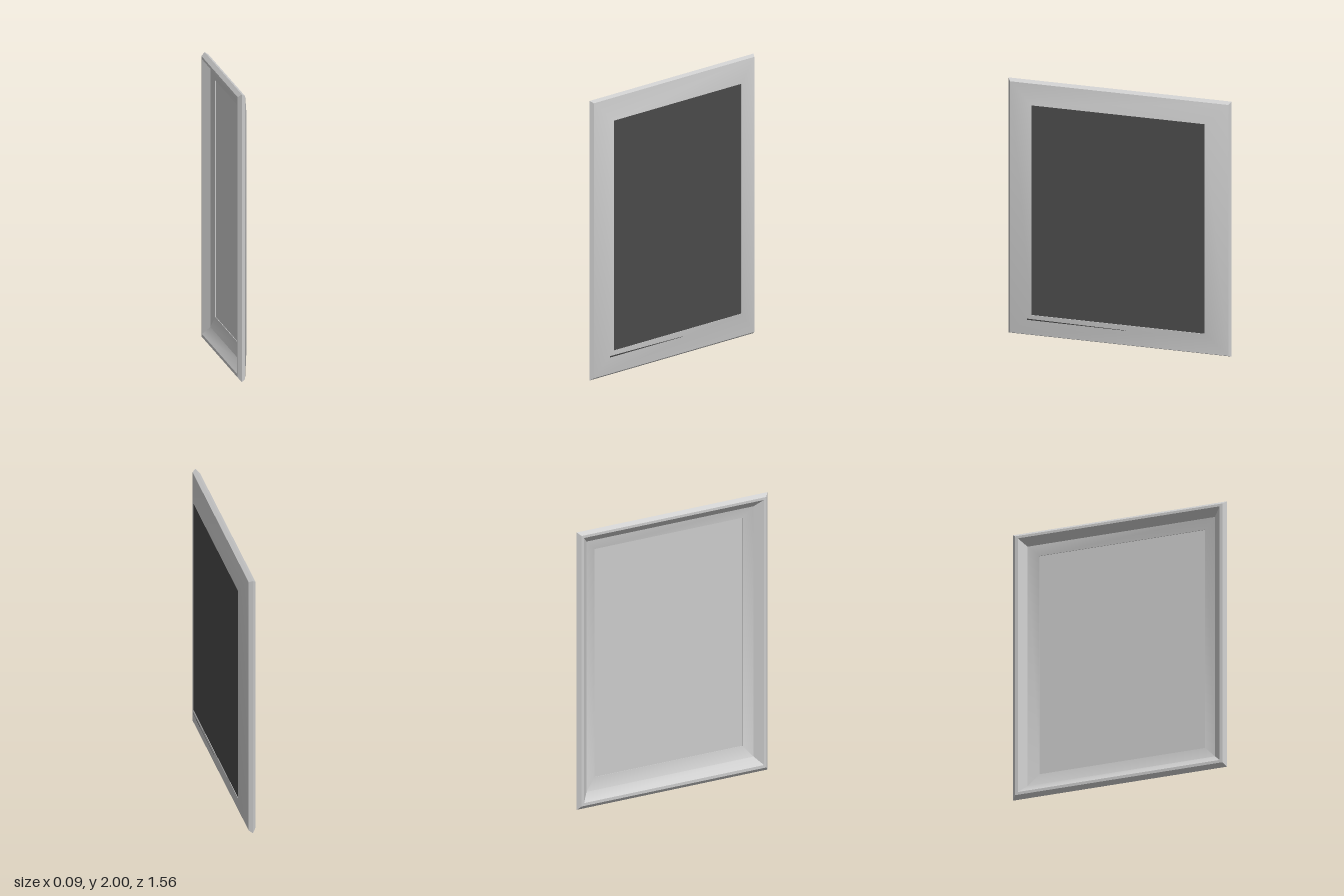
import * as THREE from 'three';
import { toCreasedNormals } from 'three/addons/utils/BufferGeometryUtils.js';

// Rectangle in the y-z plane; u = 0 is the outer edge, u = 1 the opening.
function corners(u, x) {
  const z = 0.78 - 0.175 * u, y0 = 0.19 * u, y1 = 2 - 0.165 * u;
  return [[x, y0, z], [x, y0, -z], [x, y1, -z], [x, y1, z]];
}

// Closed moulding profile swept round the four mitred corners
function frameGeometry(profile) {
  const pos = [], idx = [], n = profile.length;
  for (const [u, x] of profile) pos.push(...corners(u, x).flat());
  for (let i = 0; i < n; i++) {
    for (let k = 0; k < 4; k++) {
      const a = i * 4 + k, b = i * 4 + (k + 1) % 4;
      const c = ((i + 1) % n) * 4 + (k + 1) % 4, d = ((i + 1) % n) * 4 + k;
      idx.push(a, b, c, a, c, d);
    }
  }
  const g = new THREE.BufferGeometry();
  g.setAttribute('position', new THREE.Float32BufferAttribute(pos, 3));
  g.setIndex(idx);
  return toCreasedNormals(g, 0.5);
}

export function createModel() {
  const group = new THREE.Group();
  const grey = new THREE.MeshStandardMaterial({ color: 0xcccccc });
  const dark = new THREE.MeshStandardMaterial({ color: 0x4a4a4a });
  const add = (name, geometry, material) => {
    const mesh = new THREE.Mesh(geometry, material);
    mesh.name = name;
    group.add(mesh);
    return mesh;
  };

  // Frame: bevelled outer edge, sloping face, hollowed back
  add('frame', frameGeometry([
    [0, -0.02], [0.09, 0.005], [1, 0.041], [1, 0.025],
    [0.55, 0.005], [0.25, -0.045], [0.14, -0.045],
  ]), grey);

  // Picture in the opening, with a grey backing board
  const h = 1.645, w = 1.21, cy = 1.0125;
  add('picture', new THREE.BoxGeometry(0.004, h, w), dark).position.set(0.036, cy, 0.002);
  add('backingBoard', new THREE.BoxGeometry(0.004, h, w), grey).position.set(0.031, cy, 0.002);

  // Thin tapering crack on the lower rail, lying along its slope
  const shape = new THREE.Shape([
    new THREE.Vector2(-0.64, 0.156), new THREE.Vector2(-0.64, 0.145),
    new THREE.Vector2(0.055, 0.143), new THREE.Vector2(0.055, 0.146),
  ]);
  const crack = new THREE.ShapeGeometry(shape);
  crack.rotateY(Math.PI / 2);
  const p = crack.attributes.position;
  for (let i = 0; i < p.count; i++) {
    p.setX(i, 0.0065 + 0.036 * (p.getY(i) / 0.19 - 0.09) / 0.91);
  }
  crack.computeVertexNormals();
  add('crack', crack, dark);

  return group;
}
